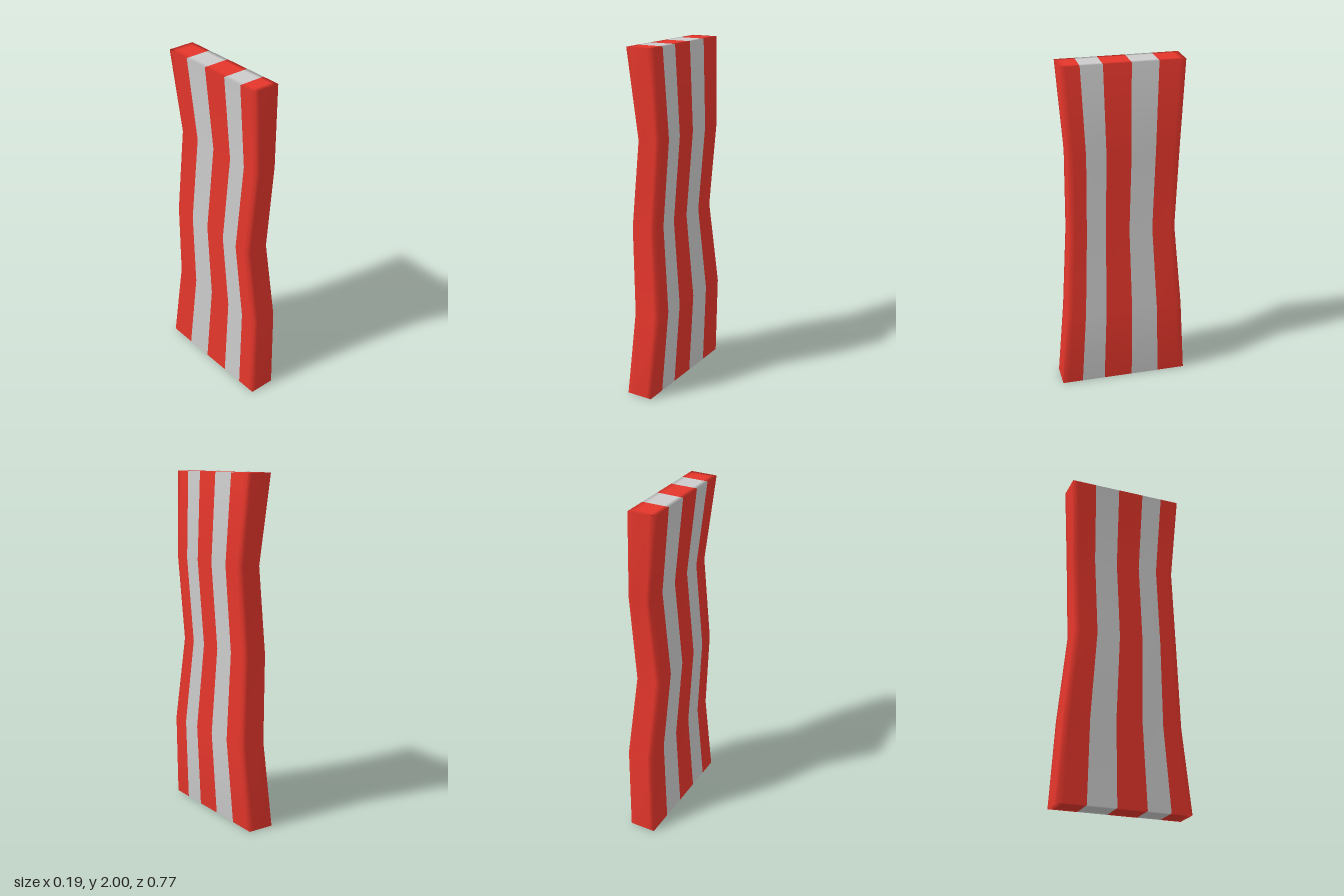
import * as THREE from 'three';
import { mergeVertices } from 'three/addons/utils/BufferGeometryUtils.js';

// Cross-sections from bottom to top: y, x min, x max, z front, z back
const SECTIONS = [
  [0.0, -0.095, 0.06, 0.385, -0.385],
  [0.5, -0.06, 0.09, 0.35, -0.345],
  [1.0, -0.095, 0.045, 0.315, -0.305],
  [1.5, -0.045, 0.085, 0.32, -0.31],
  [2.0, -0.095, 0.06, 0.35, -0.34],
];
// Loop positions across the thickness and from front to back;
// the outermost ones keep the soft shading close to the edges
const ACROSS = [0, 0.18, 0.82, 1];
const ALONG = [0, 0.05, 0.16, 0.34, 0.565, 0.785, 0.95, 1];
const PALE_BANDS = [2, 4];

export function createModel() {
  const nx = ACROSS.length - 1, ny = SECTIONS.length - 1, nz = ALONG.length - 1;

  // A subdivided box with shared corners, so shading runs smoothly over it
  let strip = new THREE.BoxGeometry(1, 1, 1, nx, ny, nz);
  strip.deleteAttribute('normal');
  strip.deleteAttribute('uv');
  strip = mergeVertices(strip, 1e-3);
  const pos = strip.attributes.position;
  const index = Array.from(strip.index.array);

  // Sort the triangles into lean and pale bands
  const lean = [], pale = [];
  for (let i = 0; i < index.length; i += 3) {
    const tri = index.slice(i, i + 3);
    const z = tri.reduce((sum, v) => sum + pos.getZ(v), 0) / 3;
    const band = Math.min(nz - 1, Math.max(0, Math.floor((0.5 - z) * nz)));
    (PALE_BANDS.includes(band) ? pale : lean).push(...tri);
  }

  // Bend the box to the wavy cross-sections
  for (let i = 0; i < pos.count; i++) {
    const u = ACROSS[Math.round((pos.getX(i) + 0.5) * nx)];
    const t = ALONG[Math.round((0.5 - pos.getZ(i)) * nz)];
    const [y, x0, x1, z0, z1] = SECTIONS[Math.round((pos.getY(i) + 0.5) * ny)];
    pos.setXYZ(i, THREE.MathUtils.lerp(x0, x1, u), y, THREE.MathUtils.lerp(z0, z1, t));
  }
  strip.computeVertexNormals();

  // Two meshes share the smooth normals but differ in colour
  const group = new THREE.Group();
  group.name = 'baconStrip';
  for (const [name, faces, color] of [['leanBands', lean, 0xe5362b], ['fatBands', pale, 0xcccccc]]) {
    const geometry = strip.clone();
    geometry.setIndex(faces);
    const mesh = new THREE.Mesh(geometry, new THREE.MeshStandardMaterial({ color }));
    mesh.name = name;
    group.add(mesh);
  }
  return group;
}
